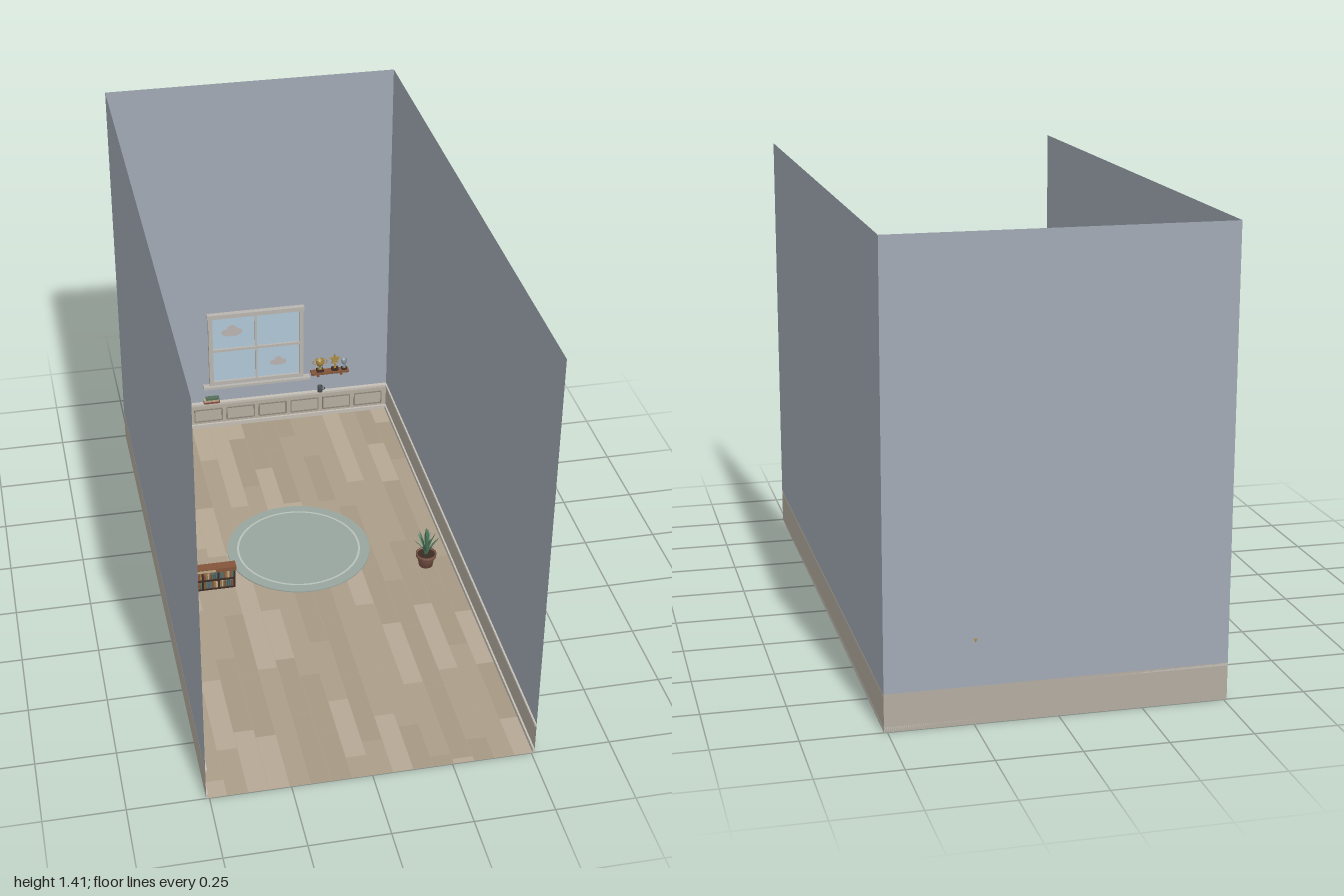
import * as THREE from 'three';
import { mergeGeometries } from 'three/addons/utils/BufferGeometryUtils.js';

const W = 0.51, D = 1, H = 1.415, DADO = 0.115;
const mat = (color, double = false) => new THREE.MeshStandardMaterial({ color, side: double ? THREE.DoubleSide : THREE.FrontSide });
const M = {
  wall: mat(0xa1a9b4, true), dado: mat(0xb3aca0, true), trim: mat(0xc3beb5), groove: mat(0x8b857b),
  floor: mat(0xaea18d, true), plankA: mat(0xa69985), plankB: mat(0xb5a894), plankC: mat(0xab9e89),
  rug: mat(0x98a69e), rugLine: mat(0xb9c2ba), frame: mat(0xb9b6b0), sky: mat(0xafc6d6), cloud: mat(0xb9b3b0),
  wood: mat(0x83553a), dark: mat(0x3d2c24), gold: mat(0xa98a45), silver: mat(0x8f9aa3),
  pot: mat(0x81594a), soil: mat(0x3a2c24), leaf: mat(0x4f7a5e, true), mug: mat(0x50565a),
  red: mat(0x8a4f45), green: mat(0x55705c), blue: mat(0x4d6376), cream: mat(0xb9a888), ochre: mat(0x93793f),
};

function add(parent, name, geo, material, x = 0, y = 0, z = 0) {
  const m = new THREE.Mesh(geo, material);
  m.name = name;
  m.position.set(x, y, z);
  parent.add(m);
  return m;
}
// Box given by its min and max corners
const span = (p, name, material, x0, x1, y0, y1, z0, z1) =>
  add(p, name, new THREE.BoxGeometry(x1 - x0, y1 - y0, z1 - z0), material, (x0 + x1) / 2, (y0 + y1) / 2, (z0 + z1) / 2);
const lathe = (pts, n = 20) => new THREE.LatheGeometry(pts.map(p => new THREE.Vector2(...p)), n);
function group(parent, name, x = 0, y = 0, z = 0) {
  const g = new THREE.Group();
  g.name = name;
  g.position.set(x, y, z);
  parent.add(g);
  return g;
}

function buildShell(root) {
  const g = group(root, 'roomShell');
  // Thin wall sheets: beige dado below, painted wall above
  const sheet = (name, width, x, z, turn) => {
    add(g, name + 'Dado', new THREE.PlaneGeometry(width, DADO), M.dado, x, DADO / 2, z).rotation.y = turn;
    add(g, name, new THREE.PlaneGeometry(width, H - DADO), M.wall, x, (H + DADO) / 2, z).rotation.y = turn;
  };
  sheet('backWall', 2 * W, 0, -D, 0);
  sheet('leftWall', 2 * D, W, 0, -Math.PI / 2);
  sheet('rightWall', 2 * D, -W, 0, Math.PI / 2);
  // Rails and skirting on the inner faces
  span(g, 'backRail', M.trim, -W, W, 0.106, DADO, -D, -0.983);
  span(g, 'backSkirting', M.trim, -W, W, 0, 0.016, -D, -0.992);
  for (const s of [-1, 1]) {
    const a = Math.min(s * W, s * (W - 0.006)), b = Math.max(s * W, s * (W - 0.006));
    span(g, 'sideRail', M.trim, a, b, 0.106, DADO, -D, D);
    span(g, 'sideSkirting', M.trim, a, b, 0, 0.016, -D, D);
  }
  // Row of framed panels on the back wall
  for (let i = 0; i < 8; i++) {
    const x = -0.4375 + i * 0.125, w = 0.053, z0 = -0.9995, z1 = -0.996;
    for (const y of [0.028, 0.079]) span(g, 'panelMoulding', M.groove, x - w, x + w, y - 0.002, y + 0.002, z0, z1);
    for (const s of [-1, 1]) span(g, 'panelMoulding', M.groove, x + s * w - 0.002, x + s * w + 0.002, 0.028, 0.079, z0, z1);
  }
}

function buildFloor(root) {
  const g = group(root, 'floor');
  add(g, 'floorSlab', new THREE.PlaneGeometry(2 * W, 2 * D), M.floor).rotation.x = -Math.PI / 2;
  // Planks of three tones, laid along z with staggered joints
  let seed = 7;
  const rnd = () => (seed = (seed * 16807) % 2147483647) / 2147483647;
  const tones = [[], [], []], n = 16, w = 2 * W / n;
  for (let i = 0; i < n; i++) {
    let z = -D - 0.25 * rnd();
    while (z < D) {
      const end = z + 0.25 + 0.12 * rnd(), a = Math.max(z, -D), b = Math.min(end, D);
      if (b - a > 0.004) {
        const p = new THREE.PlaneGeometry(w - 0.001, b - a - 0.001).rotateX(-Math.PI / 2);
        tones[Math.floor(rnd() * 3)].push(p.translate(-W + (i + 0.5) * w, 0.001, (a + b) / 2));
      }
      z = end;
    }
  }
  tones.forEach((t, i) => add(g, 'planks', mergeGeometries(t), [M.plankA, M.plankB, M.plankC][i]));
  // Round rug with a pale ring
  add(g, 'rug', new THREE.CylinderGeometry(0.25, 0.25, 0.004, 64), M.rug, 0, 0.003, -0.165);
  add(g, 'rugRing', new THREE.RingGeometry(0.209, 0.216, 64), M.rugLine, 0, 0.0058, -0.165).rotation.x = -Math.PI / 2;
}

function buildWindow(root) {
  const g = group(root, 'window'), z0 = -0.999;
  span(g, 'windowPane', M.sky, -0.17, 0.17, 0.2, 0.49, z0, -0.994);
  for (const s of [-1, 1]) span(g, 'windowJamb', M.frame, s * 0.173 - 0.008, s * 0.173 + 0.008, 0.19, 0.49, z0, -0.982);
  span(g, 'windowHead', M.frame, -0.184, 0.184, 0.483, 0.5, z0, -0.979);
  span(g, 'bottomRail', M.frame, -0.166, 0.166, 0.193, 0.208, z0, -0.984);
  span(g, 'meetingRail', M.frame, -0.166, 0.166, 0.337, 0.347, z0, -0.985);
  span(g, 'mullion', M.frame, -0.004, 0.004, 0.2, 0.488, z0, -0.987);
  span(g, 'windowSill', M.frame, -0.205, 0.205, 0.183, 0.193, z0, -0.972);
  // Flat clouds made of overlapping discs
  for (const [cx, cy, k] of [[-0.09, 0.418, 1], [0.085, 0.267, 0.8]]) {
    const c = group(g, 'cloud', cx, cy, -0.9925);
    [[-0.027, -0.003, 0.013], [0, 0.008, 0.02], [0.025, -0.002, 0.014], [-0.01, -0.007, 0.014], [0.011, -0.007, 0.014]]
      .forEach(([x, y, r], i) => add(c, 'cloudPuff', new THREE.CircleGeometry(r * k, 20), M.cloud, x * k, y * k, i * 0.0001));
  }
}

function buildTrophyShelf(root) {
  const g = group(root, 'trophyShelf'), z = -0.984;
  span(g, 'shelfBoard', M.wood, 0.21, 0.355, 0.2, 0.208, -0.999, -0.968);
  for (const x of [0.238, 0.328]) span(g, 'shelfBracket', M.wood, x - 0.004, x + 0.004, 0.184, 0.2, -0.999, -0.98);
  // Two-handled cup
  const cup = group(g, 'cupTrophy', 0.245, 0.208, z);
  add(cup, 'cupBase', new THREE.BoxGeometry(0.026, 0.01, 0.02), M.dark, 0, 0.005, 0);
  add(cup, 'cupBowl', lathe([[0, 0.01], [0.01, 0.01], [0.004, 0.016], [0.004, 0.022], [0.012, 0.029], [0.016, 0.038], [0.017, 0.05], [0.014, 0.05], [0.012, 0.038], [0, 0.03]]), M.gold);
  for (const s of [-1, 1]) add(cup, 'cupHandle', new THREE.TorusGeometry(0.009, 0.002, 6, 16), M.gold, s * 0.018, 0.041, 0);
  // Star on a pedestal
  const star = group(g, 'starTrophy', 0.303, 0.208, z);
  add(star, 'starBase', new THREE.BoxGeometry(0.026, 0.01, 0.02), M.dark, 0, 0.005, 0);
  add(star, 'starStem', new THREE.CylinderGeometry(0.003, 0.005, 0.022, 12), M.gold, 0, 0.021, 0);
  const pts = [];
  for (let i = 0; i < 10; i++) {
    const r = i % 2 ? 0.01 : 0.023, a = Math.PI / 2 + i * Math.PI / 5;
    pts.push(new THREE.Vector2(r * Math.cos(a), r * Math.sin(a)));
  }
  add(star, 'star', new THREE.ExtrudeGeometry(new THREE.Shape(pts), { depth: 0.007, bevelEnabled: false }), M.gold, 0, 0.047, -0.0035);
  // Small goblet
  const goblet = group(g, 'goblet', 0.339, 0.208, z);
  add(goblet, 'gobletBase', new THREE.BoxGeometry(0.02, 0.007, 0.018), M.dark, 0, 0.0035, 0);
  add(goblet, 'gobletBowl', lathe([[0, 0.007], [0.008, 0.007], [0.003, 0.012], [0.003, 0.02], [0.01, 0.028], [0.012, 0.041], [0.009, 0.041], [0, 0.026]]), M.silver);
}

function buildLedgeItems(root) {
  const books = group(root, 'ledgeBooks', -0.175, DADO, -0.989);
  [[0.062, M.red, 0], [0.056, M.cream, -0.002], [0.05, M.green, 0.003]].forEach(([w, m, x], i) =>
    add(books, 'ledgeBook', new THREE.BoxGeometry(w, 0.0075, 0.02), m, x, 0.004 + i * 0.008, 0));
  const mug = group(root, 'mug', 0.246, DADO, -0.988);
  add(mug, 'mugBody', lathe([[0, 0], [0.01, 0], [0.01, 0.024], [0.008, 0.024], [0.008, 0.004], [0, 0.004]]), M.mug);
  add(mug, 'mugHandle', new THREE.TorusGeometry(0.006, 0.0018, 6, 14), M.mug, 0.012, 0.012, 0);
}

function buildBookcase(root) {
  const g = group(root, 'bookcase', -0.365, 0, -0.007), w = 0.112, z0 = -0.017, z1 = 0.015;
  span(g, 'caseBack', M.dark, -w, w, 0, 0.075, z0, z0 + 0.004);
  span(g, 'caseTop', M.wood, -0.116, 0.116, 0.074, 0.089, z0 - 0.001, z1 + 0.002);
  span(g, 'signPlate', M.cream, -0.045, 0.045, 0.077, 0.086, z1 + 0.002, z1 + 0.003);
  for (const y of [0, 0.037]) span(g, 'caseShelf', M.dark, -w, w, y, y + 0.006, z0, z1);
  for (let i = 0; i < 5; i++) {
    const x = -w + 0.003 + i * (2 * w - 0.006) / 4;
    span(g, 'caseUpright', M.dark, x - 0.003, x + 0.003, 0, 0.075, z0, z1);
  }
  // Two rows of book spines in four bays
  const spines = [M.red, M.green, M.ochre, M.blue, M.cream, M.green, M.wood];
  for (const [row, y] of [0.006, 0.043].entries()) for (let bay = 0; bay < 4; bay++) for (let i = 0; i < 7; i++) {
    const x = -w + 0.0065 + bay * 0.0545 + i * 0.0069, h = 0.021 + 0.002 * ((i * 3 + bay + row * 2) % 4);
    span(g, 'book', spines[(i * 2 + bay * 3 + row) % 7], x, x + 0.0062, y, y + h, z0 + 0.004, z1 - 0.004);
  }
}

// Tapering sword leaf arching outward along +z
function leafGeometry(length, reach, width) {
  const geo = new THREE.PlaneGeometry(1, 1, 2, 8), p = geo.attributes.position;
  for (let i = 0; i < p.count; i++) {
    const t = p.getY(i) + 0.5, u = p.getX(i) * 2;
    const half = width * (0.45 + 0.9 * t) * (1 - t ** 3) * 0.6;
    p.setXYZ(i, u * half, length * (t - 0.12 * t * t), reach * t ** 1.4 + 0.003 * Math.abs(u) * (1 - t));
  }
  geo.computeVertexNormals();
  return geo;
}

function buildPlant(root) {
  const g = group(root, 'pottedPlant', 0.416, 0, 0.012);
  add(g, 'pot', lathe([[0, 0], [0.024, 0], [0.03, 0.038], [0.035, 0.038], [0.036, 0.05], [0.031, 0.05], [0.03, 0.044]], 24), M.pot);
  add(g, 'soil', new THREE.CylinderGeometry(0.031, 0.031, 0.002, 24), M.soil, 0, 0.045, 0);
  const ring = (n, len, reach, off) => {
    for (let i = 0; i < n; i++) add(g, 'leaf', leafGeometry(len, reach, 0.011), M.leaf, 0, 0.045, 0).rotation.y = off + i * 2 * Math.PI / n;
  };
  ring(6, 0.075, 0.046, 0.5);
  ring(5, 0.1, 0.03, 0.2);
  ring(3, 0.123, 0.008, 0.9);
}

export function createModel() {
  const root = new THREE.Group();
  root.name = 'room';
  [buildShell, buildFloor, buildWindow, buildTrophyShelf, buildLedgeItems, buildBookcase, buildPlant].forEach(build => build(root));
  return root;
}
